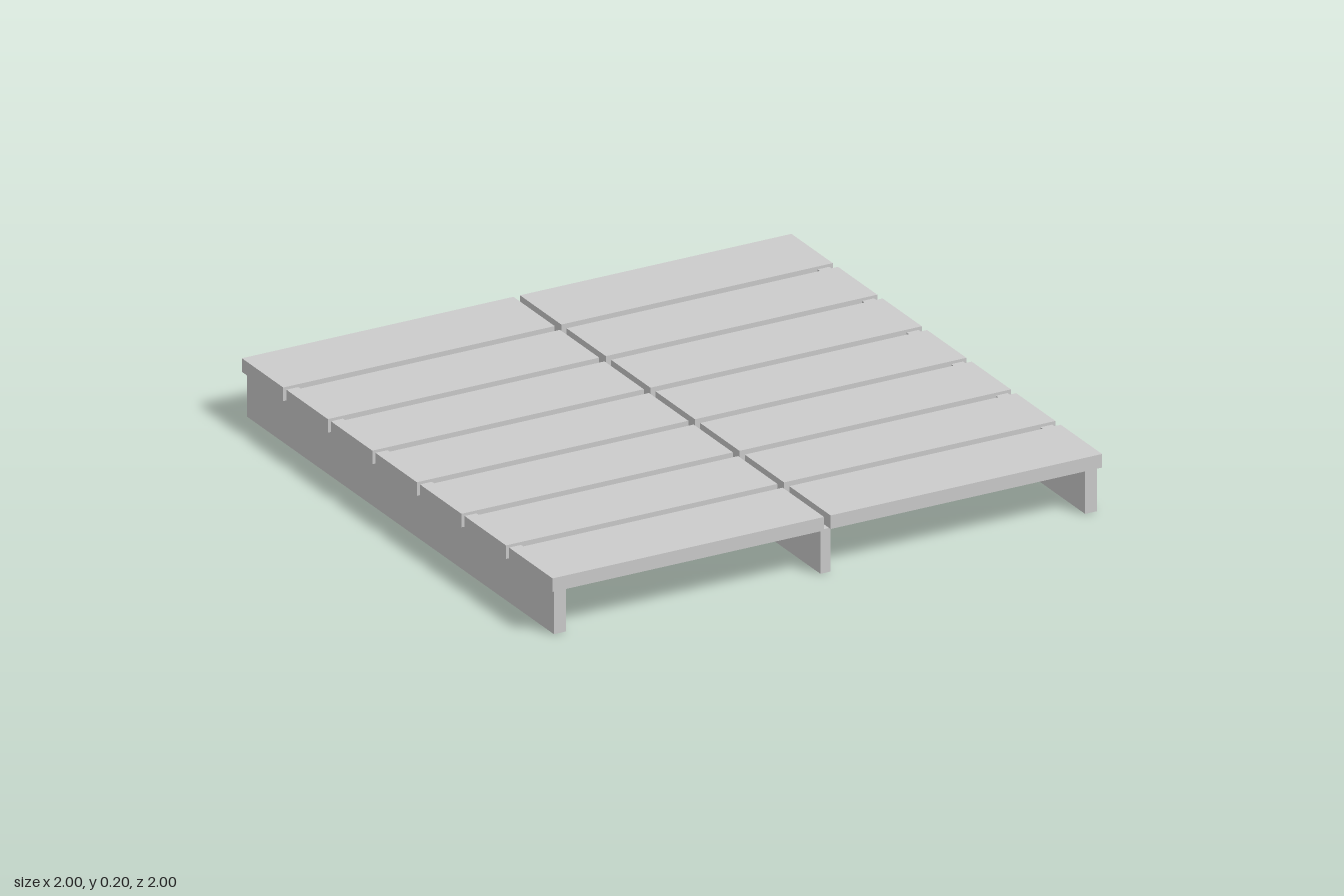
import * as THREE from 'three';

export function createModel() {
  const model = new THREE.Group();
  model.name = 'slattedPlatform';
  const grey = new THREE.MeshStandardMaterial({ color: 0xcccccc });
  grey.name = 'light grey';

  // Box given by its minimum and maximum corners
  const addBox = (name, [x0, y0, z0], [x1, y1, z1]) => {
    const mesh = new THREE.Mesh(new THREE.BoxGeometry(x1 - x0, y1 - y0, z1 - z0), grey);
    mesh.position.set((x0 + x1) / 2, (y0 + y1) / 2, (z0 + z1) / 2);
    mesh.name = name;
    model.add(mesh);
  };

  const deckBottom = 0.153, deckTop = 0.2, slotHalf = 0.012;

  // Seven rows of slats, split by a narrow slot; the end rows are a little wider
  const gap = 0.034, endDepth = 0.266, rows = 7;
  const midDepth = (2 - 2 * endDepth - (rows - 1) * gap) / (rows - 2);
  let z = -1;
  for (let i = 0; i < rows; i++) {
    const depth = i === 0 || i === rows - 1 ? endDepth : midDepth;
    addBox('rightSlat' + (i + 1), [-1, deckBottom, z], [-slotHalf, deckTop, z + depth]);
    addBox('leftSlat' + (i + 1), [slotHalf, deckBottom, z], [1, deckTop, z + depth]);
    z += depth + gap;
  }

  // Side runners are let into the slats; the centre runner stops beneath them
  const z0 = -0.988, z1 = 0.988;
  addBox('rightRunner', [-0.988, 0, z0], [-0.945, 0.19, z1]);
  addBox('leftRunner', [0.945, 0, z0], [0.988, 0.19, z1]);
  addBox('centreRunner', [-0.018, 0, z0], [0.018, 0.152, z1]);

  return model;
}
